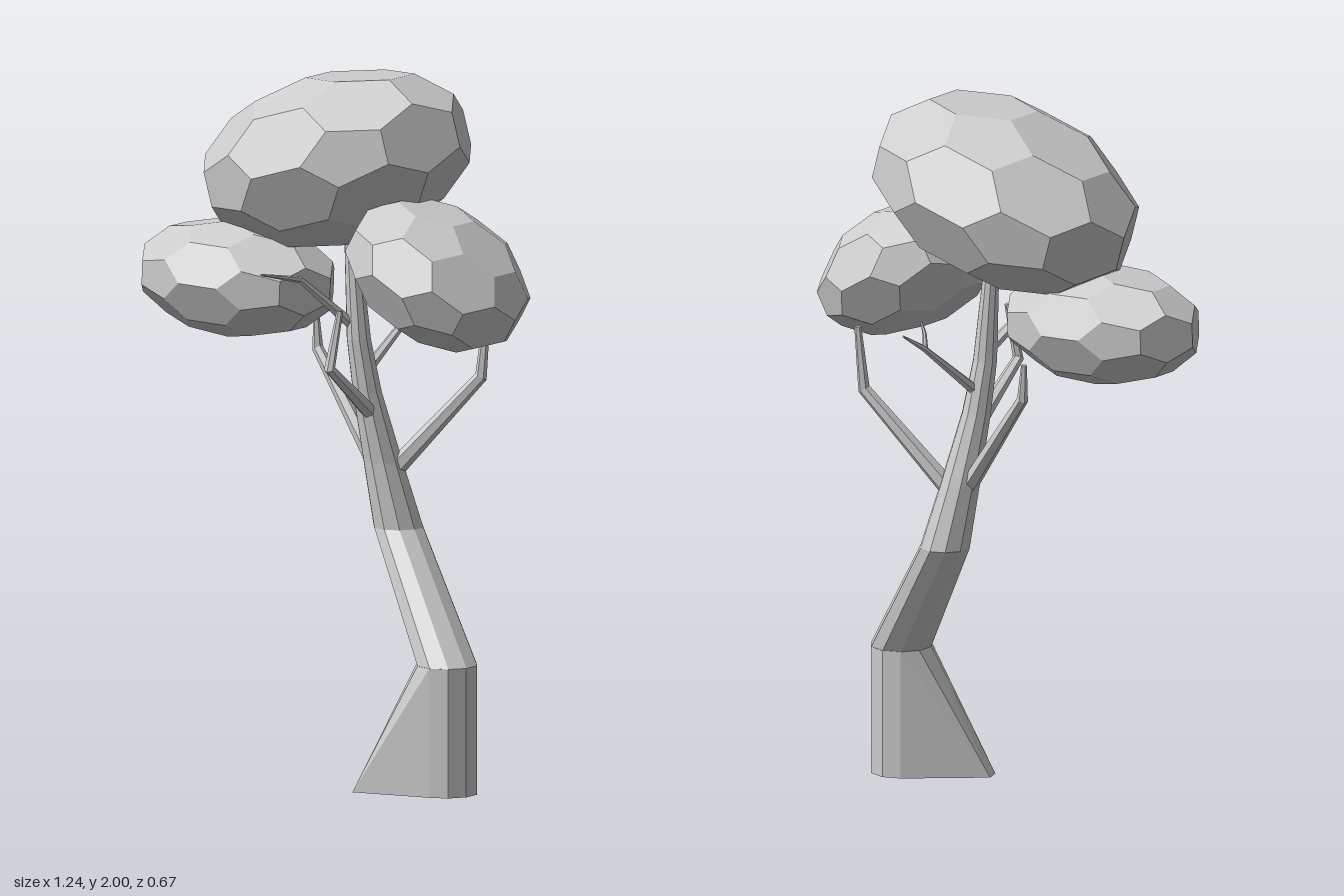
import * as THREE from 'three';
import { mergeVertices } from 'three/addons/utils/BufferGeometryUtils.js';
import { ConvexGeometry } from 'three/addons/geometries/ConvexGeometry.js';

const material = new THREE.MeshStandardMaterial({ color: 0xcccccc, flatShading: true });
const V = (x, y, z) => new THREE.Vector3(x, y, z);

function part(name, geometry) {
  const mesh = new THREE.Mesh(geometry, material);
  mesh.name = name;
  return mesh;
}

// Faceted limb through nodes [x, y, z, radius]; level keeps the rings horizontal
function limb(nodes, sides, level = false) {
  const centres = nodes.map(([x, y, z]) => V(x, y, z));
  const last = nodes.length - 1;
  const positions = [], index = [];
  centres.forEach((c, i) => {
    const t = level ? V(0, 1, 0)
      : centres[Math.min(i + 1, last)].clone().sub(centres[Math.max(i - 1, 0)]).normalize();
    const u = V(1, 0, 0).addScaledVector(t, -t.x).normalize();
    const v = t.clone().cross(u);
    for (let j = 0; j < sides; j++) {
      const a = ((j + 0.5) / sides) * Math.PI * 2;
      const p = c.clone().addScaledVector(u, nodes[i][3] * Math.cos(a))
        .addScaledVector(v, nodes[i][3] * Math.sin(a));
      positions.push(p.x, p.y, p.z);
    }
  });
  for (let i = 0; i < last; i++) {
    for (let j = 0; j < sides; j++) {
      const k = (j + 1) % sides;
      const a = i * sides + j, b = i * sides + k;
      index.push(a, b, b + sides, a, b + sides, a + sides);
    }
  }
  // End caps
  for (let j = 1; j < sides - 1; j++) {
    const top = last * sides;
    index.push(0, j + 1, j, top, top + j, top + j + 1);
  }
  const g = new THREE.BufferGeometry();
  g.setAttribute('position', new THREE.Float32BufferAttribute(positions, 3));
  g.setIndex(index);
  const flat = g.toNonIndexed();
  flat.computeVertexNormals();
  return flat;
}

// Corners of a ball of pentagons and hexagons: each icosahedron edge cut at its thirds
function ballCorners() {
  const p = new THREE.IcosahedronGeometry(1, 0).getAttribute('position');
  const corners = [];
  for (let f = 0; f < p.count; f += 3) {
    for (let a = 0; a < 3; a++) {
      for (let b = 0; b < 3; b++) {
        if (a === b) continue;
        const q = V().fromBufferAttribute(p, f + a).lerp(V().fromBufferAttribute(p, f + b), 1 / 3);
        corners.push(q.normalize());
      }
    }
  }
  const g = mergeVertices(new THREE.BufferGeometry().setFromPoints(corners), 1e-3).getAttribute('position');
  return Array.from({ length: g.count }, (_, i) => V().fromBufferAttribute(g, i));
}

// Squashed, tilted foliage ball fitted between two opposite corners
function foliage(radii, tilt, min, max) {
  const points = ballCorners().map((p) => p.applyAxisAngle(V(0, 1, 0), Math.PI / 2)
    .multiply(V(...radii)).applyAxisAngle(V(0, 0, 1), tilt));
  const box = new THREE.Box3().setFromPoints(points);
  const target = new THREE.Box3(V(...min), V(...max));
  const scale = target.getSize(V()).divide(box.getSize(V()));
  const centre = box.getCenter(V()), goal = target.getCenter(V());
  points.forEach((p) => p.sub(centre).multiply(scale).add(goal));
  return new ConvexGeometry(points);
}

export function createModel() {
  const tree = new THREE.Group();
  tree.name = 'tree';

  // Upright stump with one root spreading to the side
  const stump = [];
  for (let j = 0; j < 10; j++) {
    const a = ((j + 0.5) / 10) * Math.PI * 2;
    for (const y of [0, 0.365]) {
      stump.push(V(0.392 + 0.087 * Math.cos(a), y, 0.057 + 0.09 * Math.sin(a)));
    }
  }
  stump.push(V(0.145, 0, 0.14), V(0.16, 0, 0.185));
  tree.add(part('stumpWithRoot', new ConvexGeometry(stump)));

  // Crooked tapering trunk
  tree.add(part('trunk', limb([
    [0.392, 0.365, 0.057, 0.088],
    [0.14, 0.715, -0.08, 0.072],
    [0.105, 0.9, -0.055, 0.057],
    [0.075, 1.1, -0.02, 0.042],
    [0.06, 1.25, 0, 0.035],
    [0.04, 1.58, 0.01, 0.02],
  ], 10, true)));

  // Branches: root at the trunk, elbow, raised tip
  const branches = {
    rightBranch: [[0.07, 0.9, -0.06, 0.025], [-0.15, 1.19, -0.11, 0.016], [-0.155, 1.29, -0.11, 0.008]],
    leftBranch: [[0.12, 0.86, -0.06, 0.028], [0.37, 1.15, -0.15, 0.018], [0.38, 1.33, -0.165, 0.01]],
    frontBranch: [[0.09, 1.03, -0.03, 0.024], [0.11, 1.2, 0.225, 0.016], [0.125, 1.36, 0.195, 0.009]],
    frontTwig: [[0.05, 1.28, 0, 0.018], [-0.03, 1.43, 0.16, 0.01], [-0.05, 1.465, 0.33, 0.003]],
    backTwig: [[0.07, 1.15, -0.01, 0.017], [0.11, 1.32, -0.22, 0.009], [0.135, 1.365, -0.285, 0.003]],
    backTwigFork: [[0.11, 1.32, -0.215, 0.008], [0.12, 1.36, -0.205, 0.006], [0.135, 1.39, -0.2, 0.003]],
  };
  for (const [name, nodes] of Object.entries(branches)) tree.add(part(name, limb(nodes, 6)));

  // Three foliage balls
  tree.add(part('topFoliage', foliage([0.42, 0.24, 0.32], 0.28, [-0.435, 1.5, -0.335], [0.385, 2, 0.295])));
  tree.add(part('leftFoliage', foliage([0.28, 0.175, 0.26], -0.52, [0.1, 1.26, -0.205], [0.617, 1.67, 0.31])));
  tree.add(part('rightFoliage', foliage([0.31, 0.165, 0.21], -0.04, [-0.62, 1.235, -0.155], [0, 1.565, 0.26])));
  return tree;
}
